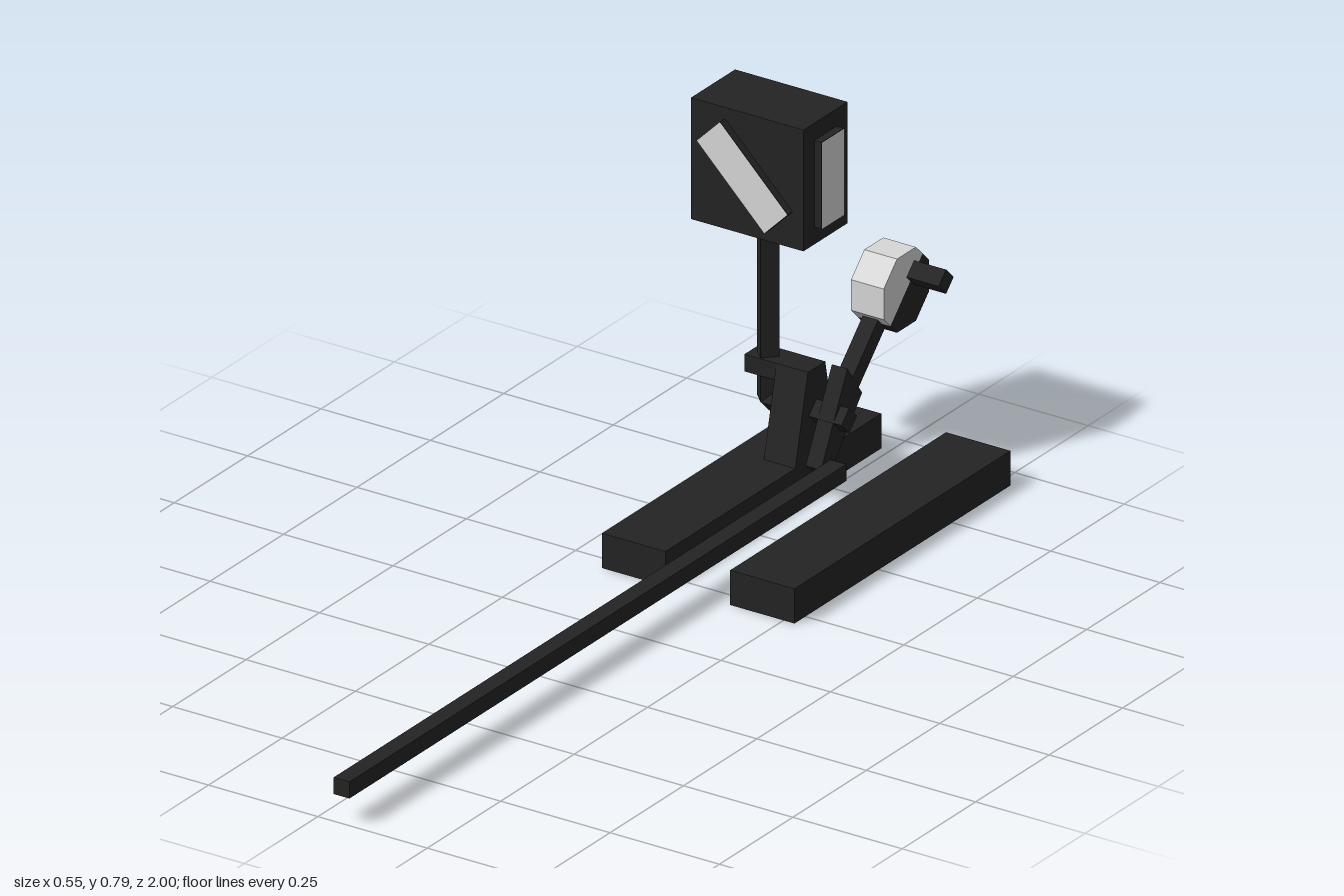
import * as THREE from 'three';

export function createModel() {
  const model = new THREE.Group();
  model.name = 'switchStand';
  const black = new THREE.MeshStandardMaterial({ color: 0x242424, side: THREE.DoubleSide });
  black.name = 'black iron';
  const white = new THREE.MeshStandardMaterial({ color: 0xd8d8d8 });
  white.name = 'white paint';

  const add = (name, geo, mat = black, parent = model) => {
    const mesh = new THREE.Mesh(geo, mat);
    mesh.name = name;
    parent.add(mesh);
    return mesh;
  };
  // Box given by its minimum and maximum along each axis
  const boxGeo = (x0, x1, y0, y1, z0, z1) =>
    new THREE.BoxGeometry(x1 - x0, y1 - y0, z1 - z0)
      .translate((x0 + x1) / 2, (y0 + y1) / 2, (z0 + z1) / 2);
  const extrude = (pts, z0, z1) =>
    new THREE.ExtrudeGeometry(new THREE.Shape(pts.map(p => new THREE.Vector2(...p))),
      { depth: z1 - z0, bevelEnabled: false }).translate(0, 0, z0);
  // Side profile of [z, y] points, extruded from x0 to x1
  const sideProfile = (pts, x0, x1) =>
    extrude(pts.map(([z, y]) => [-z, y]), x0, x1).rotateY(Math.PI / 2);

  // Sleepers, open underneath
  for (const [name, x0, x1] of [['rightSleeper', -0.165, -0.02], ['leftSleeper', 0.128, 0.275]]) {
    const geo = boxGeo(x0, x1, 0, 0.073, -0.948, -0.213);
    const idx = Array.from(geo.index.array);
    idx.splice(18, 6); // drop the bottom face
    geo.setIndex(idx);
    geo.clearGroups();
    add(name, geo);
  }

  // Long connecting rod
  add('connectingRod', boxGeo(0.036, 0.072, 0.057, 0.092, -0.692, 1));

  // Tapered pedestal with the post bracket on top
  add('pedestal', sideProfile(
    [[-0.655, 0.073], [-0.795, 0.073], [-0.757, 0.258], [-0.698, 0.258]], -0.092, -0.02));
  add('postBracket', boxGeo(-0.165, -0.092, 0.222, 0.258, -0.757, -0.698));

  // Lantern post and axle: square bars turned on edge
  const bar = 0.037;
  const post = add('lanternPost', new THREE.BoxGeometry(bar, 0.38, bar));
  post.position.set(-0.13, 0.355, -0.727);
  post.rotation.y = Math.PI / 4;
  const axle = add('axle', new THREE.BoxGeometry(0.184, bar, bar));
  axle.position.set(-0.037, 0.165, -0.727);
  axle.rotation.x = Math.PI / 4;

  // Crank joining the axle to the rod
  add('crank', sideProfile(
    [[-0.8, 0.19], [-0.75, 0.26], [-0.66, 0.082], [-0.688, 0.06]], 0, 0.0355));

  // Throw lever: local x runs up the lever, local z is the model's x
  const lever = new THREE.Group();
  lever.name = 'throwLever';
  lever.position.set(0, 0.363, -0.922);
  lever.rotation.set(0, Math.PI / 2, Math.PI / 4);
  model.add(lever);
  add('leverArm', boxGeo(-0.28, -0.05, -0.0175, 0.0175, 0, 0.035), black, lever);
  add('leverHandle', boxGeo(0.019, 0.055, -0.018, 0.018, 0.05, 0.128), black, lever);

  // Octagonal counterweight in two coloured halves
  const a = 0.0775, t = 0.032;
  const half = s => extrude(
    [[-a, 0], [-a, s * t], [-t, s * a], [t, s * a], [a, s * t], [a, 0]], -0.02, 0.055);
  add('weightWhiteHalf', half(1), white, lever);
  add('weightBlackHalf', half(-1), black, lever);

  // Lantern
  const lantern = new THREE.Group();
  lantern.name = 'lantern';
  lantern.position.set(-0.1285, 0.663, -0.728);
  model.add(lantern);
  add('lanternBody', new THREE.BoxGeometry(0.257, 0.255, 0.15), black, lantern);

  // A raised window on each side, slanted on the front and back
  const addWindow = (name, width, height, surface, turn, slant) => {
    const win = new THREE.Group();
    win.name = name;
    win.rotation.set(0, turn, slant);
    lantern.add(win);
    add('windowFrame', boxGeo(-width / 2, width / 2, -height / 2, height / 2,
      surface - 0.01, surface + 0.0165), black, win);
    add('windowPane', new THREE.PlaneGeometry(width, height).translate(0, 0, surface + 0.018), white, win);
  };
  const q = Math.PI / 4;
  addWindow('frontWindow', 0.219, 0.075, 0.075, 0, -q);
  addWindow('backWindow', 0.219, 0.075, 0.075, Math.PI, q);
  addWindow('leftWindow', 0.076, 0.182, 0.1285, Math.PI / 2, 0);
  addWindow('rightWindow', 0.076, 0.182, 0.1285, -Math.PI / 2, 0);

  return model;
}
